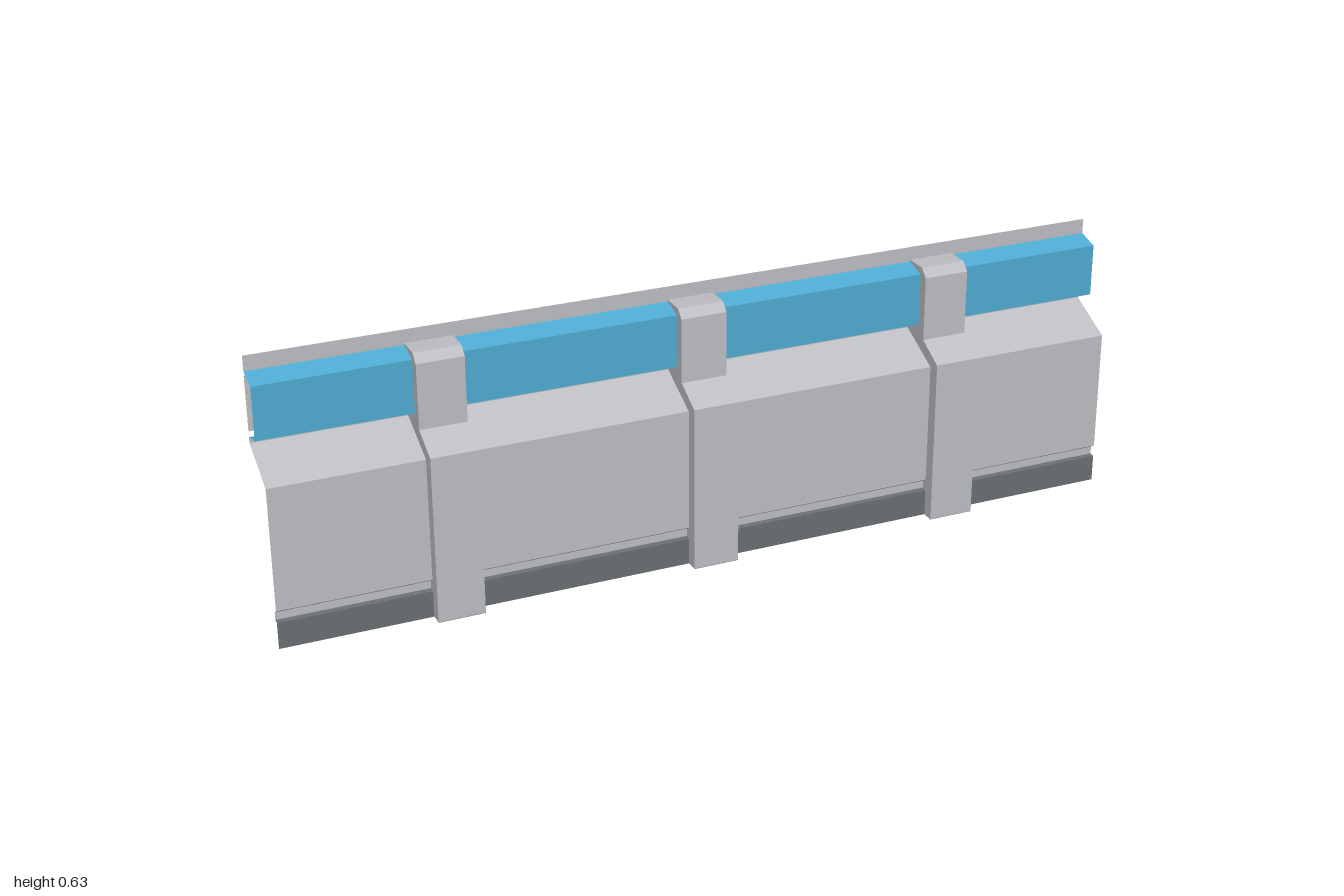
import * as THREE from 'three';

const mat = (name, color) => {
  const m = new THREE.MeshStandardMaterial({ color, side: THREE.DoubleSide });
  m.name = name;
  return m;
};

// Folded sheet running along x; points are [z, y] from bottom to top
function sheet(name, points, material) {
  const pos = [];
  for (let i = 0; i < points.length - 1; i++) {
    const [z0, y0] = points[i];
    const [z1, y1] = points[i + 1];
    pos.push(-1, y0, z0, 1, y0, z0, 1, y1, z1);
    pos.push(-1, y0, z0, 1, y1, z1, -1, y1, z1);
  }
  const geo = new THREE.BufferGeometry();
  geo.setAttribute('position', new THREE.Float32BufferAttribute(pos, 3));
  geo.computeVertexNormals();
  const mesh = new THREE.Mesh(geo, material);
  mesh.name = name;
  return mesh;
}

export function createModel() {
  const grey = mat('light grey', 0xbcbdc1);
  const dark = mat('dark grey', 0x686e72);
  const blue = mat('blue', 0x4eaad0);
  const model = new THREE.Group();
  model.name = 'wallBarrier';

  const front = 0.043, inset = 0.031, back = -0.07;

  // Lower wall: dark kick plate, recessed groove, panel and sloping ledge
  model.add(
    sheet('kickPlate', [[front, 0], [front, 0.062], [inset, 0.064]], dark),
    sheet('wallPanel', [[inset, 0.064], [inset, 0.082], [front, 0.09], [front, 0.375],
      [back, 0.43], [back, 0.444]], grey),
  );

  // Blue channel in front of the backing strip, with narrow slits behind
  model.add(
    sheet('blueChannel', [[back, 0.444], [-0.019, 0.456], [-0.019, 0.578], [back, 0.592]], blue),
    sheet('backingStrip', [[back, 0.457], [back, 0.583]], grey),
    sheet('topLip', [[back, 0.592], [back, 0.627]], grey),
  );

  // Stepped pillars
  const width = 0.107;
  const profile = [[0.073, 0.001], [0.073, 0.39], [0.005, 0.427], [0.005, 0.577],
    [-0.014, 0.596], [-0.073, 0.596], [-0.073, 0.001]];
  const shape = new THREE.Shape(profile.map(([z, y]) => new THREE.Vector2(-z, y)));
  const pillarGeo = new THREE.ExtrudeGeometry(shape, { depth: width, bevelEnabled: false });
  pillarGeo.translate(0, 0, -width / 2).rotateY(Math.PI / 2);
  const footGeo = new THREE.PlaneGeometry(width, 0.146).rotateX(Math.PI / 2);

  for (const x of [-0.604, -0.004, 0.596]) {
    const pillar = new THREE.Group();
    pillar.name = 'pillar';
    const body = new THREE.Mesh(pillarGeo, grey);
    body.name = 'pillarBody';
    const foot = new THREE.Mesh(footGeo, dark);
    foot.name = 'pillarFoot';
    pillar.add(body, foot);
    pillar.position.x = x;
    model.add(pillar);
  }
  return model;
}
